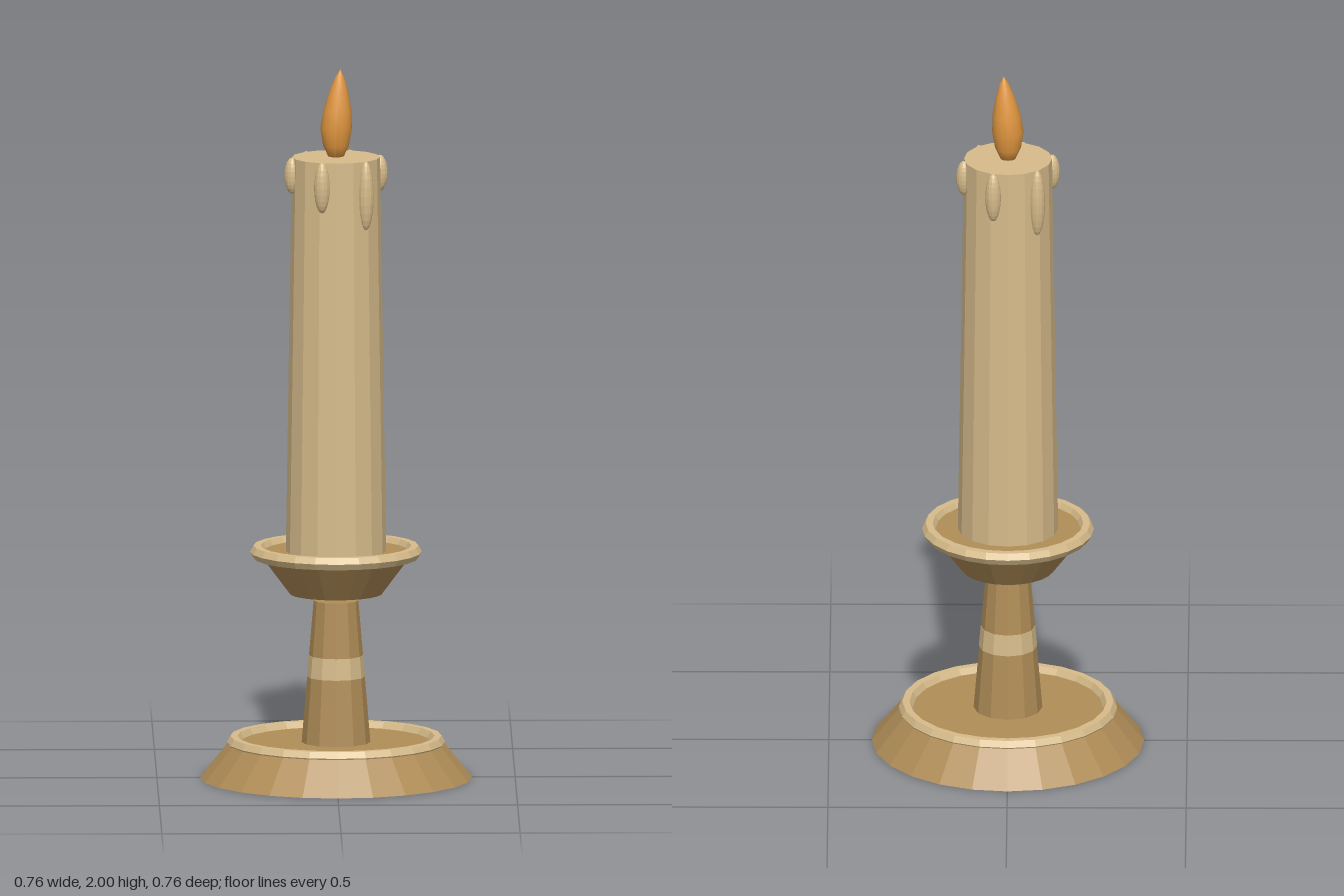
import * as THREE from 'three';

const material = (name, color, flatShading = true) => {
  const m = new THREE.MeshStandardMaterial({ color, flatShading });
  m.name = name;
  return m;
};

export function createModel() {
  const model = new THREE.Group();
  model.name = 'candlestick';
  const brass = material('brass', 0xb08d57);
  const wax = material('wax', 0xd6bb8a);
  const flameOrange = material('flame orange', 0xe0963f);
  wax.flatShading = brass.flatShading = true;
  flameOrange.flatShading = false;

  const add = (name, geometry, mat, x = 0, y = 0, z = 0) => {
    const mesh = new THREE.Mesh(geometry, mat);
    mesh.name = name;
    mesh.position.set(x, y, z);
    model.add(mesh);
    return mesh;
  };
  // Tapered round part between two heights
  const taper = (name, rBottom, rTop, y0, y1, sides, mat) =>
    add(name, new THREE.CylinderGeometry(rTop, rBottom, y1 - y0, sides), mat, 0, (y0 + y1) / 2);
  // Hexagonal-section ring lying flat
  const ring = (name, radius, y) =>
    add(name, new THREE.TorusGeometry(radius, 0.02, 6, 24).rotateX(Math.PI / 2), wax, 0, y);

  // Holder
  taper('base', 0.38, 0.3, 0, 0.1, 24, brass);
  ring('baseRim', 0.285, 0.1);
  taper('stem', 0.096, 0.0625, 0.1, 0.5, 12, brass);
  taper('stemBand', 0.0815, 0.0765, 0.285, 0.345, 12, wax);
  taper('dripPan', 0.13, 0.22, 0.52, 0.64, 24, brass);
  ring('dripPanRim', 0.22, 0.638);

  // Candle
  taper('candle', 0.14, 0.123, 0.64, 1.753, 16, wax);

  // Wax drips: short, long and medium, repeated around the top
  const bottoms = [1.653, 1.56, 1.612];
  for (let i = 0; i < 6; i++) {
    const angle = THREE.MathUtils.degToRad(-11 + i * 60);
    const half = (1.755 - bottoms[i % 3]) / 2;
    const drip = new THREE.SphereGeometry(0.022, 14, 12).scale(1, half / 0.022, 1);
    add('waxDrip', drip, wax, 0.125 * Math.cos(angle), 1.755 - half, 0.125 * Math.sin(angle));
  }

  // Flame with its tip leaning slightly sideways
  const outline = [[0, 1.75], [0.022, 1.755], [0.036, 1.785], [0.044, 1.835],
    [0.039, 1.885], [0.026, 1.94], [0.012, 1.98], [0, 2]].map(p => new THREE.Vector2(...p));
  const flame = new THREE.LatheGeometry(outline, 16);
  const pos = flame.attributes.position;
  for (let i = 0; i < pos.count; i++) {
    const t = Math.max(0, (pos.getY(i) - 1.83) / 0.17);
    pos.setX(i, pos.getX(i) + 0.012 * t);
  }
  flame.computeVertexNormals();
  add('flame', flame, flameOrange);

  return model;
}
